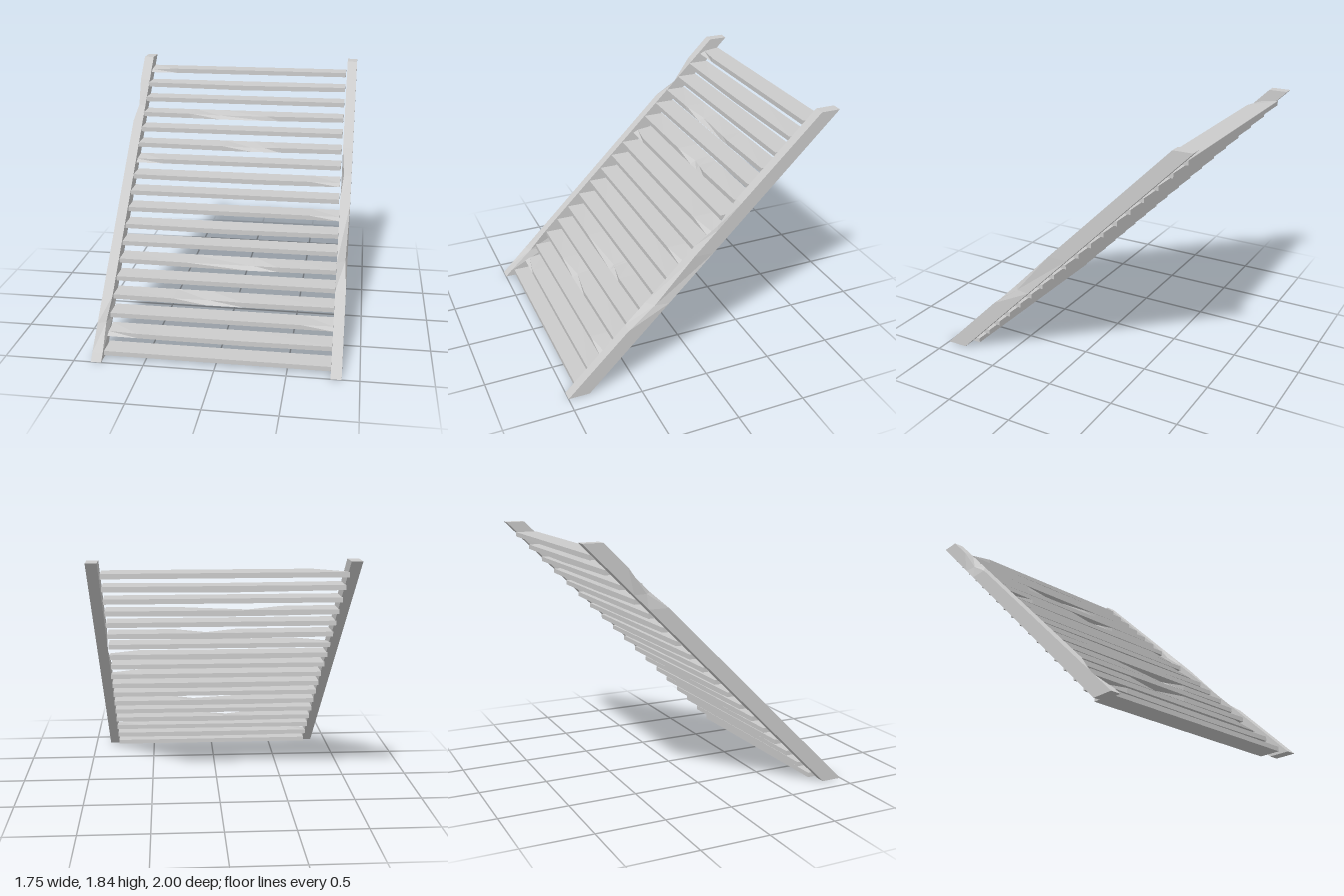
import * as THREE from 'three';

const material = new THREE.MeshStandardMaterial({ color: 0xcccccc, flatShading: true });

// Skin a list of four-cornered cross-sections, with both ends capped
function loft(name, rings) {
  const positions = [];
  const quad = (a, b, c, d) => positions.push(...a, ...b, ...c, ...a, ...c, ...d);
  for (let s = 0; s < rings.length - 1; s++) {
    const r = rings[s], n = rings[s + 1];
    for (let i = 0; i < 4; i++) {
      const j = (i + 1) % 4;
      quad(r[i], r[j], n[j], n[i]);
    }
  }
  const first = rings[0], last = rings[rings.length - 1];
  quad(first[3], first[2], first[1], first[0]);
  quad(...last);
  const geometry = new THREE.BufferGeometry();
  geometry.setAttribute('position', new THREE.Float32BufferAttribute(positions, 3));
  geometry.computeVertexNormals();
  const mesh = new THREE.Mesh(geometry, material);
  mesh.name = name;
  return mesh;
}

// Chip depth at t: zero at both ends of the chip, one at its deepest point
function chipAt(t, [from, peak, to]) {
  if (t <= from || t >= to) return t === peak ? 1 : 0;
  return t <= peak ? (t - from) / (peak - from) : (to - t) / (to - peak);
}

// Sloping side rail with a worn outer and inner front edge
const HEIGHT = 1.84;
function stringer(name, side, outerChip, innerChip) {
  const levels = [...new Set([0, ...outerChip, ...innerChip, HEIGHT])].sort((a, b) => a - b);
  return loft(name, levels.map(y => {
    const front = 1 - 1.86 * y / HEIGHT, back = 0.845 - 1.845 * y / HEIGHT;
    const o = chipAt(y, outerChip), n = chipAt(y, innerChip);
    const outer = [side * (0.877 - 0.014 * o), y, front - 0.05 * o];
    const inner = [side * (0.802 + 0.018 * n), y, front - 0.03 * n];
    const innerBack = [side * 0.802, y, back], outerBack = [side * 0.877, y, back];
    return side > 0 ? [inner, outer, outerBack, innerBack] : [outer, inner, innerBack, outerBack];
  }));
}

// Worn spots on the top front edge of treads: start, deepest point, end along x
const LEFT = [-0.81, -0.8, -0.58], RIGHT = [0.58, 0.8, 0.81];
const chips = {
  1: LEFT, 2: RIGHT, 3: [-0.36, -0.11, 0.16], 5: [-0.3, 0.17, 0.38],
  8: RIGHT, 10: RIGHT, 11: LEFT, 12: [-0.12, 0.1, 0.32], 14: [-0.42, -0.18, 0.3], 17: LEFT,
};
const sagging = [1, 3, 5, 7, 10, 12, 14, 16];

function tread(i) {
  const y = 0.035 + i * 0.1006, front = 0.925 - i * 0.0998, back = front - 0.159;
  const shift = i > 8 ? -0.008 : 0;
  const chip = chips[i] || [0, 0, 0];
  const sag = sagging.includes(i) ? 0.009 : 0;
  const stations = [...new Set([-0.8, -0.4, 0.2, 0.8, ...chip])]
    .filter(x => Math.abs(x) <= 0.8).sort((a, b) => a - b);
  return loft('tread' + (i + 1), stations.map(x => {
    const dip = sag * (1 - Math.abs(x) / 0.8);
    const c = chips[i] ? chipAt(x, chip) : 0;
    const low = y - 0.017 - dip, high = y + 0.017 - dip * 0.6, px = x + shift;
    return [
      [px, low, front], [px, low, back],
      [px, y + 0.017, back], [px, high - 0.014 * c, front - 0.04 * c],
    ];
  }));
}

export function createModel() {
  const group = new THREE.Group();
  group.name = 'openStaircase';
  group.add(stringer('leftStringer', 1, [0.45, 0.6, 0.93], [0.97, 1.1, 1.27]));
  group.add(stringer('rightStringer', -1, [1.4, 1.5, 1.68], [0.05, 0.2, 0.35]));
  const treads = new THREE.Group();
  treads.name = 'treads';
  for (let i = 0; i < 18; i++) treads.add(tread(i));
  group.add(treads);
  return group;
}
